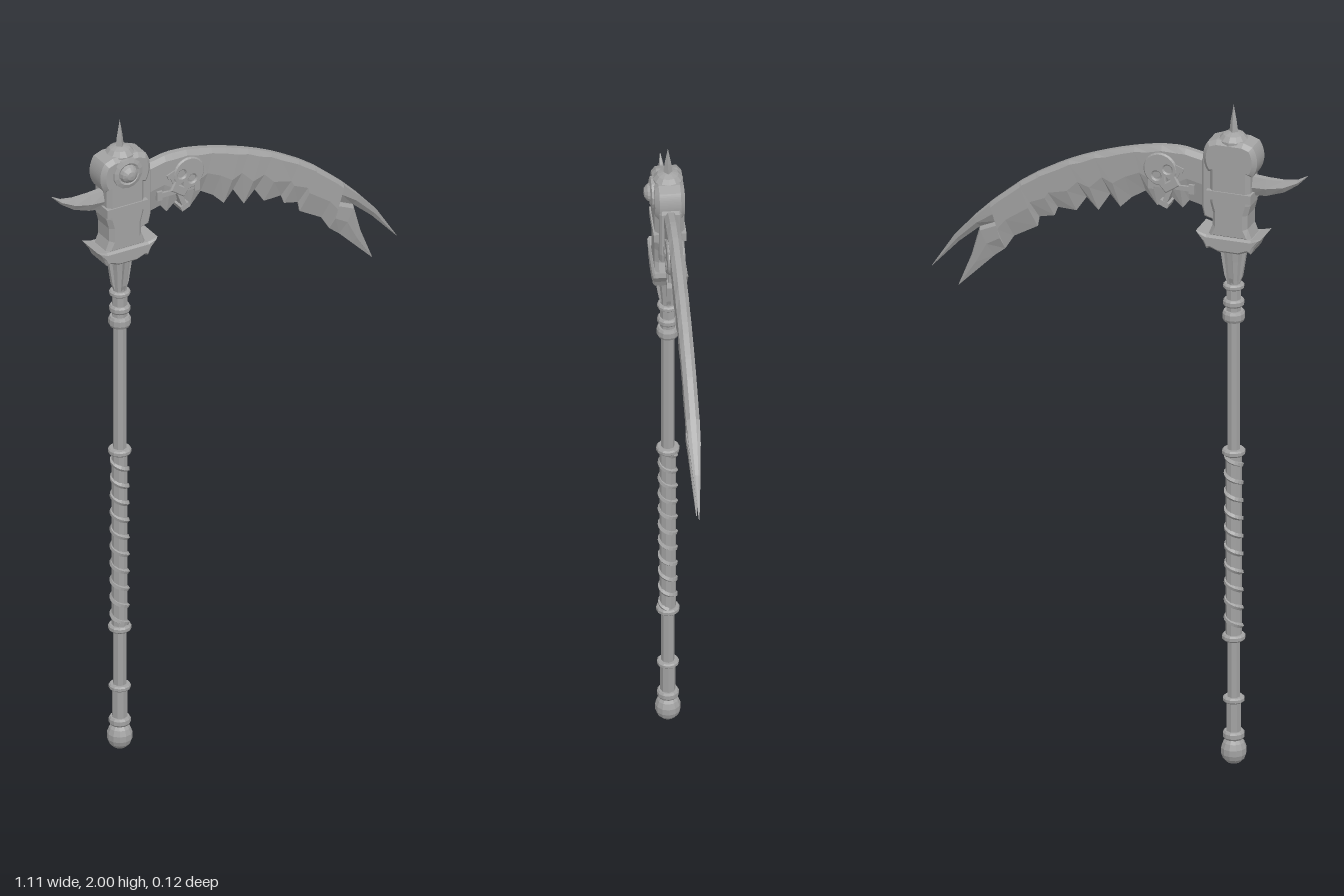
import * as THREE from 'three';

const steel = new THREE.MeshStandardMaterial({ color: 0xa2a2a2, flatShading: true });
steel.name = 'steel';

const AXIS = -0.34; // x of the shaft
const V = (x, y) => new THREE.Vector2(x, y);

function add(parent, name, geometry, x = 0, y = 0, z = 0) {
  const mesh = new THREE.Mesh(geometry, steel);
  mesh.name = name;
  mesh.position.set(x, y, z);
  parent.add(mesh);
  return mesh;
}

// Turned part around the shaft from [radius, y] pairs
function turned(parent, name, profile, sides = 12) {
  return add(parent, name, new THREE.LatheGeometry(profile.map(p => V(...p)), sides), AXIS);
}

// Plate cut from an outline, centred on z = 0, with chamfered edges
function plate(outline, thickness, bevel, holes = []) {
  const shape = outline instanceof THREE.Shape ? outline : new THREE.Shape(outline.map(p => V(...p)));
  shape.holes.push(...holes);
  const geometry = new THREE.ExtrudeGeometry(shape, {
    depth: thickness - 2 * bevel, bevelEnabled: bevel > 0, bevelThickness: bevel,
    bevelSize: bevel, bevelOffset: -bevel, bevelSegments: 1, curveSegments: 10,
  });
  return geometry.translate(0, 0, -(thickness - 2 * bevel) / 2);
}

// Closed skin over a row of equal rings, with faces turned outward
function loft(rings) {
  const n = rings[0].length, tris = [];
  for (let i = 0; i < rings.length - 1; i++) for (let j = 0; j < n; j++) {
    const a = rings[i][j], b = rings[i][(j + 1) % n], c = rings[i + 1][(j + 1) % n], d = rings[i + 1][j];
    tris.push([a, b, c], [a, c, d]);
  }
  const first = rings[0], last = rings[rings.length - 1];
  for (let j = 1; j < n - 1; j++) tris.push([first[0], first[j + 1], first[j]], [last[0], last[j], last[j + 1]]);
  const volume = tris.reduce((s, [a, b, c]) => s + a.dot(b.clone().cross(c)), 0);
  const points = tris.flatMap(([a, b, c]) => (volume < 0 ? [a, c, b] : [a, b, c]));
  const geometry = new THREE.BufferGeometry().setFromPoints(points);
  geometry.computeVertexNormals();
  return geometry;
}

// Blade section: chamfered spine above, full body, thin edge below
function section([tx, ty, bx, by], scale = 1) {
  const half = [[0, 0.008], [0.09, 0.019], [0.55, 0.018], [1, 0.002]];
  const at = (f, z) => new THREE.Vector3(tx + (bx - tx) * f, ty + (by - ty) * f, z * scale);
  return [...half.map(([f, z]) => at(f, z)), ...half.slice().reverse().map(([f, z]) => at(f, -z))];
}

function buildBlade(parent) {
  const spine = new THREE.SplineCurve([[-0.27, 1.835], [-0.19, 1.85], [-0.11, 1.845], [0.01, 1.815],
    [0.14, 1.765], [0.27, 1.69], [0.378, 1.6]].map(p => V(...p)));
  // Notched cutting edge
  const edge = [[-0.27, 1.675], [-0.21, 1.69], [-0.19, 1.665], [-0.15, 1.7], [-0.115, 1.66], [-0.08, 1.7],
    [-0.04, 1.675], [-0.005, 1.64], [0.025, 1.675], [0.06, 1.62], [0.095, 1.655], [0.125, 1.61],
    [0.18, 1.612], [0.19, 1.585], [0.235, 1.575], [0.24, 1.545], [0.31, 1.505], [0.336, 1.463]];
  add(parent, 'blade', loft(edge.map(([x, y]) => {
    const top = spine.getPointAt(Math.min(1, (x + 0.27) / 0.606));
    return section([top.x, top.y, x, y]);
  })));
  // Forked tip
  add(parent, 'upperProng', loft([
    section([0.378, 1.6, 0.36, 1.542]), section([0.425, 1.553, 0.41, 1.52], 0.9),
    section([0.486, 1.484, 0.474, 1.464], 0.55), section([0.554, 1.379, 0.553, 1.378], 0.05)]));
  add(parent, 'lowerProng', loft([
    section([0.36, 1.542, 0.336, 1.463]), section([0.41, 1.52, 0.368, 1.437], 0.85),
    section([0.435, 1.431, 0.41, 1.395], 0.5), section([0.475, 1.332, 0.474, 1.331], 0.05)]));
}

// Skull and crossed bones, standing proud of both blade faces
function buildEmblem(parent) {
  const emblem = new THREE.Group();
  emblem.name = 'skullEmblem';
  emblem.position.set(-0.14, 1.765, 0);
  emblem.rotation.z = -0.6;
  const skull = new THREE.Shape();
  skull.moveTo(-0.026, -0.05);
  skull.lineTo(0.026, -0.05);
  skull.lineTo(0.03, -0.02);
  skull.absarc(0, 0.018, 0.05, -0.7, Math.PI + 0.7, false);
  skull.lineTo(-0.03, -0.02);
  const holes = [-1, 1].map(s => new THREE.Path().absarc(s * 0.02, 0.008, 0.012, 0, Math.PI * 2, true));
  holes.push(new THREE.Path([V(0, -0.008), V(0.007, -0.022), V(-0.007, -0.022)]));
  add(emblem, 'skull', plate(skull, 0.05, 0.004, holes));
  for (const s of [-1, 1]) {
    const bone = new THREE.Group();
    bone.name = 'bone';
    bone.position.y = -0.04;
    bone.rotation.z = s * 0.6;
    add(bone, 'boneShaft', new THREE.BoxGeometry(0.12, 0.014, 0.044));
    for (const e of [-1, 1]) add(bone, 'boneEnd', new THREE.BoxGeometry(0.016, 0.028, 0.046), e * 0.06);
    emblem.add(bone);
  }
  parent.add(emblem);
}

function buildHead(parent) {
  // Block with a round crown and a waist above the guard
  const body = new THREE.Shape();
  body.moveTo(-0.066, 1.605);
  body.lineTo(0.066, 1.605);
  for (const [x, y] of [[0.052, 1.64], [0.052, 1.68], [0.06, 1.71], [0.06, 1.8]]) body.lineTo(x, y);
  body.absarc(0, 1.845, 0.08, -0.6, 0.6, false);
  body.lineTo(0.04, 1.9);
  body.lineTo(-0.04, 1.9);
  body.absarc(0, 1.845, 0.08, Math.PI - 0.6, Math.PI + 0.6, false);
  for (const [x, y] of [[-0.06, 1.8], [-0.06, 1.71], [-0.052, 1.68], [-0.052, 1.64]]) body.lineTo(x, y);
  add(parent, 'headBlock', plate(body, 0.084, 0.012), AXIS);
  add(parent, 'headBand', new THREE.BoxGeometry(0.132, 0.026, 0.092), AXIS, 1.735);
  // Clamp that holds the blade root
  add(parent, 'bladeClamp', plate([[-0.3, 1.65], [-0.262, 1.66], [-0.255, 1.69], [-0.255, 1.83],
    [-0.265, 1.85], [-0.3, 1.85]], 0.062, 0.006));
  // Guard with upturned horns
  const right = [[0.03, 1.565], [0.055, 1.575], [0.066, 1.57], [0.075, 1.59], [0.097, 1.62], [0.066, 1.612]];
  const left = right.map(([x, y]) => [-x, y]).reverse();
  add(parent, 'guard', plate([...right, ...left], 0.098, 0.006), AXIS);
  // Pivot on the front face
  const pivot = new THREE.LatheGeometry([[0.046, 0.035], [0.046, 0.048], [0.034, 0.052], [0.028, 0.048],
    [0.024, 0.058], [0.013, 0.067], [0, 0.069]].map(p => V(...p)), 14).rotateX(Math.PI / 2);
  add(parent, 'pivotBoss', pivot, AXIS, 1.85);
  // Crown knob and top spike
  turned(parent, 'crownKnob', [[0, 1.885], [0.042, 1.885], [0.042, 1.898], [0.03, 1.912], [0.014, 1.918], [0, 1.92]]);
  turned(parent, 'topSpike', [[0.014, 1.91], [0.009, 1.95], [0, 2]], 4);
  // Hook on the back of the head
  const hook = [[-0.38, 1.795, 1.73, 0.02], [-0.44, 1.79, 1.738, 0.019], [-0.49, 1.79, 1.755, 0.015],
    [-0.53, 1.798, 1.782, 0.008], [-0.56, 1.815, 1.813, 0.001]];
  add(parent, 'backHook', loft(hook.map(([x, top, low, z]) => {
    const mid = (top + low) / 2;
    return [[top, -z / 2], [top, z / 2], [mid, z], [low, z * 0.2], [low, -z * 0.2], [mid, -z]]
      .map(([y, w]) => new THREE.Vector3(x, y, w));
  })));
}

function buildShaft(parent) {
  turned(parent, 'shaft', [[0.019, 0.06], [0.019, 1.47]], 8);
  turned(parent, 'upperSocket', [[0.019, 1.44], [0.021, 1.47], [0.027, 1.53], [0.034, 1.585], [0, 1.585]], 8);
  // Ribs along the socket
  for (let i = 0; i < 4; i++) {
    const rib = add(parent, 'socketRib', plate([[0.018, 1.46], [0.026, 1.48], [0.042, 1.58], [0.018, 1.58]], 0.012, 0), AXIS);
    rib.rotation.y = i * Math.PI / 2;
  }
  // Collars: height, radius, half length
  for (const [y, r, h] of [[1.45, 0.03, 0.008], [1.4, 0.03, 0.011], [1.36, 0.032, 0.016], [0.945, 0.033, 0.009],
    [0.382, 0.033, 0.009], [0.193, 0.031, 0.008], [0.085, 0.031, 0.012]]) {
    turned(parent, 'collar', [[0.015, y - h], [r - 0.004, y - h], [r, y - h / 2], [r, y + h / 2], [r - 0.004, y + h], [0.015, y + h]]);
  }
  turned(parent, 'lowerSleeve', [[0.022, 0.09], [0.022, 0.19]], 8);
  turned(parent, 'neckSleeve', [[0.022, 1.36], [0.022, 1.45]], 8);
  // Wrapped grip
  turned(parent, 'grip', [[0.023, 0.385], [0.023, 0.94]], 10);
  const turns = 10, wrap = [];
  for (let i = 0; i <= turns * 10; i++) {
    const a = i / 10 * Math.PI * 2;
    wrap.push(new THREE.Vector3(0.021 * Math.cos(a), 0.39 + 0.545 * i / (turns * 10), 0.021 * Math.sin(a)));
  }
  add(parent, 'gripWrap', new THREE.TubeGeometry(new THREE.CatmullRomCurve3(wrap), 160, 0.008, 5), AXIS);
  turned(parent, 'pommel', [[0, 0], [0.02, 0.002], [0.031, 0.014], [0.036, 0.028], [0.036, 0.046], [0.03, 0.062], [0.02, 0.074]]);
}

export function createModel() {
  const model = new THREE.Group();
  model.name = 'scythe';
  const weapon = new THREE.Group();
  weapon.name = 'weapon';
  weapon.position.z = -0.011;
  model.add(weapon);
  buildShaft(weapon);
  buildHead(weapon);
  buildBlade(weapon);
  buildEmblem(weapon);
  return model;
}
